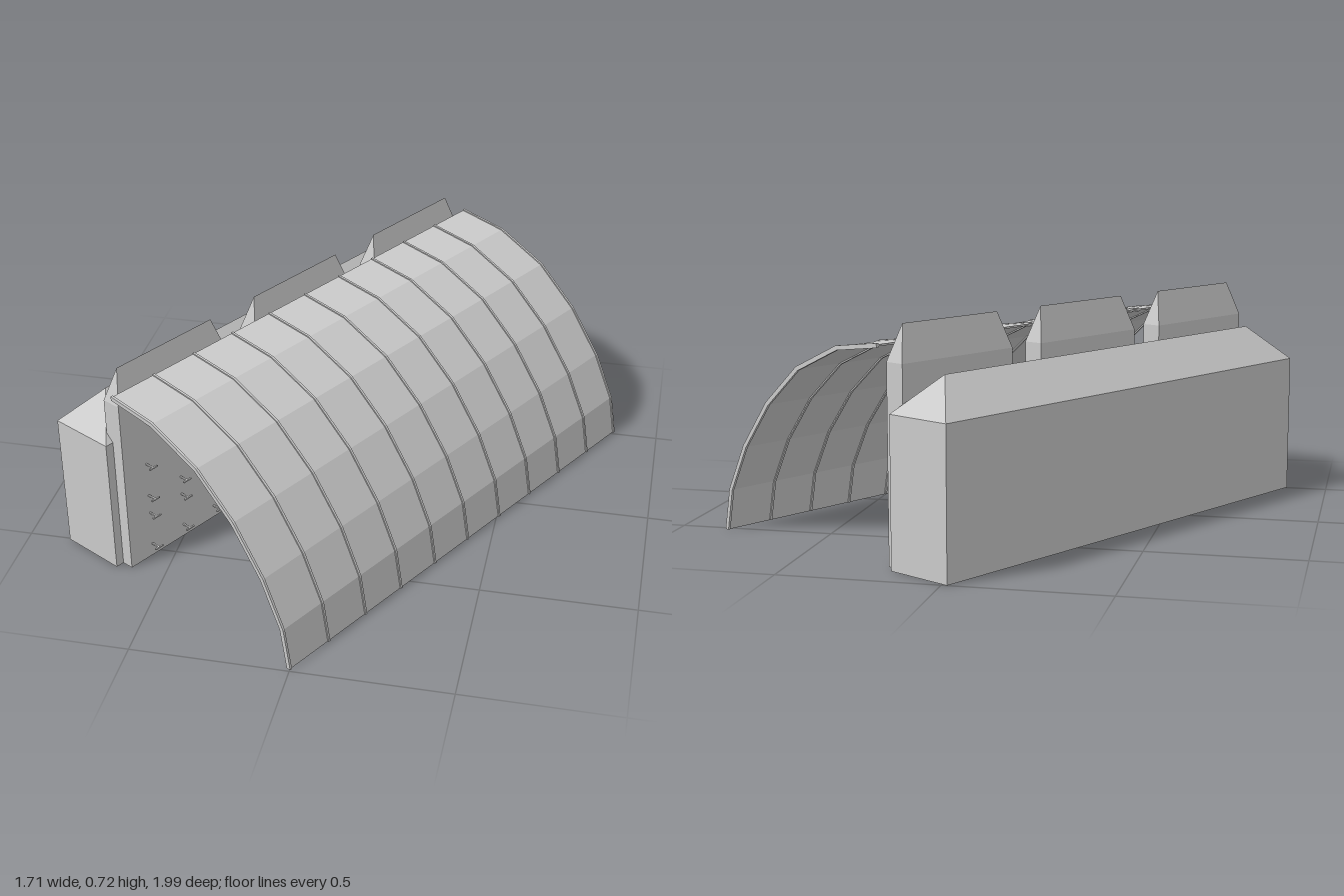
import * as THREE from 'three';
import { ConvexGeometry } from 'three/addons/geometries/ConvexGeometry.js';

const grey = new THREE.MeshStandardMaterial({ color: 0xcccccc });
grey.name = 'concreteGrey';

// Arch section, from the crown down to the ground
const PROFILE = [[-0.23, 0.663], [-0.055, 0.64], [0.125, 0.56], [0.27, 0.435], [0.385, 0.285], [0.46, 0.135], [0.485, 0]];
const HALF = 0.866; // half length of the shelter

function add(parent, geometry, name, x = 0, y = 0, z = 0) {
  const mesh = new THREE.Mesh(geometry, grey);
  mesh.name = name;
  mesh.position.set(x, y, z);
  parent.add(mesh);
  return mesh;
}

// Profile moved outwards by d, away from the foot of the crown
function offsetProfile(d) {
  return PROFILE.map(([x, y]) => {
    const r = Math.hypot(x + 0.23, y);
    return new THREE.Vector2(x + (x + 0.23) / r * d, y + y / r * d);
  });
}

// Curved sheet between two offsets
function archGeometry(outer, inner, depth) {
  const shape = new THREE.Shape([...offsetProfile(outer), ...offsetProfile(inner).reverse()]);
  return new THREE.ExtrudeGeometry(shape, { depth, bevelEnabled: false });
}

// Block with a hipped top
function hippedBlock(width, length, eave, ridge, ridgeLength) {
  const points = [];
  for (const s of [-1, 1]) {
    for (const t of [-1, 1]) {
      for (const y of [0, eave]) points.push(new THREE.Vector3(s * width / 2, y, t * length / 2));
    }
    points.push(new THREE.Vector3(0, ridge, s * ridgeLength / 2));
  }
  return new ConvexGeometry(points);
}

export function createModel() {
  const model = new THREE.Group();
  model.name = 'archedShelter';
  const body = new THREE.Group();
  body.name = 'shelterBody';
  body.rotation.y = -0.512; // the shelter stands at an angle
  model.add(body);

  // Curved roof and its ribs
  add(body, archGeometry(0, -0.006, HALF * 2), 'archedRoof', 0, 0, -HALF);
  const ribWidth = 0.008;
  for (let i = 0; i <= 10; i++) {
    const z = -HALF + (HALF * 2 - ribWidth) * i / 10;
    add(body, archGeometry(0.004, -0.01, ribWidth), 'roofRib', 0, 0, z);
  }

  // Long outer wall
  add(body, hippedBlock(0.228, HALF * 2 - 0.006, 0.465, 0.58, 1.5), 'outerWall', -0.391, 0, 0);

  // Three tall slabs with rows of T-shaped pegs on the inner side
  for (const z of [-0.6, 0, 0.6]) {
    add(body, hippedBlock(0.066, 0.468, 0.61, 0.722, 0.4), 'wallSlab', -0.27, 0, z);
    const offsets = z === 0 ? [-0.21, -0.07, 0.07, 0.21] : [-0.14, 0, 0.14];
    for (const dz of offsets) {
      for (const y of [0.045, 0.167, 0.235, 0.355]) {
        const peg = new THREE.Group();
        peg.name = 'wallPeg';
        peg.position.set(-0.238, y, z + dz);
        body.add(peg);
        add(peg, new THREE.BoxGeometry(0.034, 0.005, 0.005), 'pegStem', 0.016);
        add(peg, new THREE.BoxGeometry(0.005, 0.005, 0.034), 'pegBar', 0.033);
      }
    }
  }
  return model;
}
